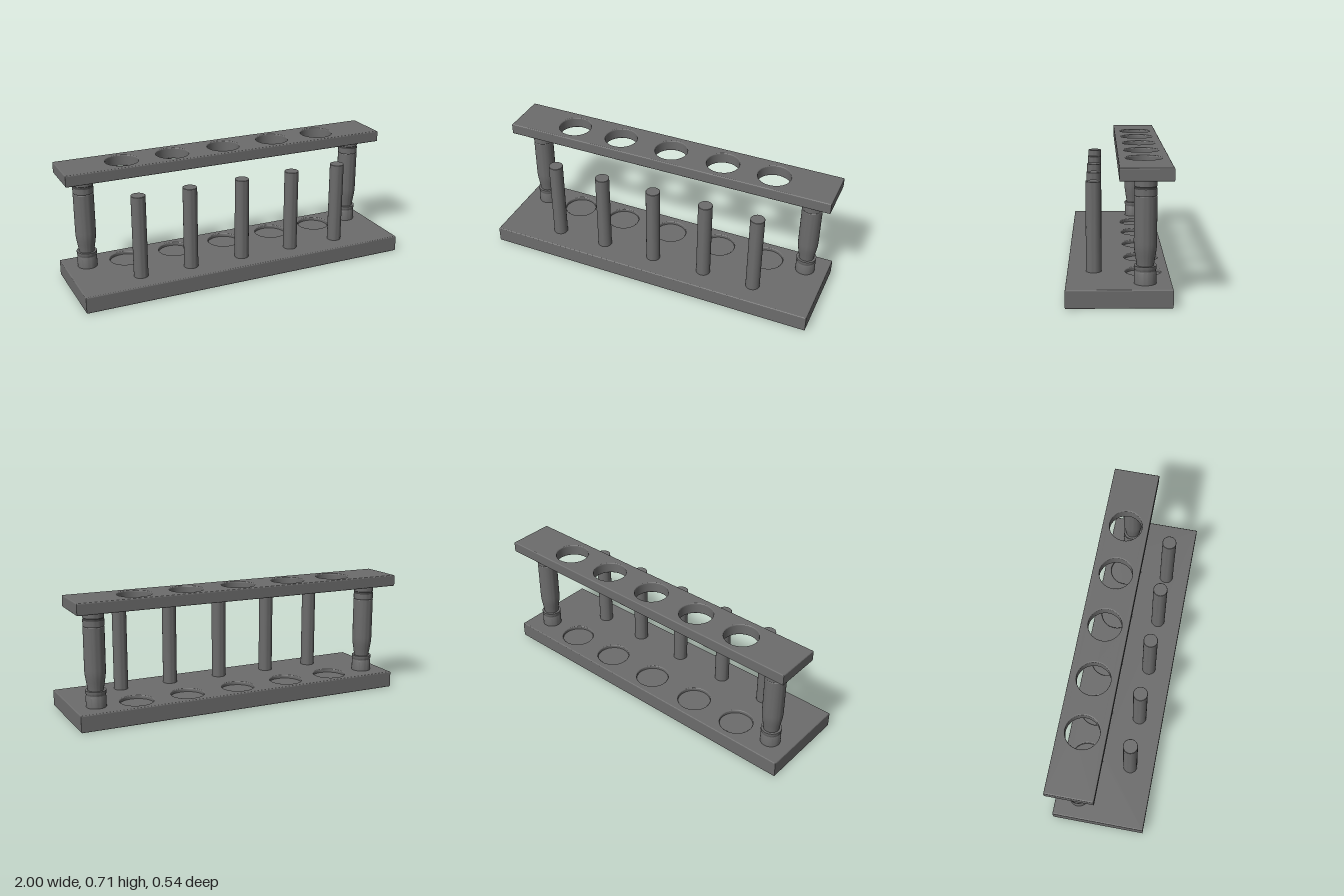
import * as THREE from 'three';
import { toCreasedNormals } from 'three/addons/utils/BufferGeometryUtils.js';

const material = new THREE.MeshStandardMaterial({ color: 0x6c6c6c });
const slotX = [-0.634, -0.326, -0.001, 0.323, 0.633];
const rowZ = -0.135;

function addMesh(parent, name, geometry, x = 0, y = 0, z = 0) {
  const mesh = new THREE.Mesh(geometry, material);
  mesh.name = name;
  mesh.position.set(x, y, z);
  parent.add(mesh);
}

// Horizontal board with softened edges, from y0 to y1 and z0 to z1, optionally drilled
function board(y0, y1, z0, z1, drilled) {
  const bevel = 0.006;
  const shape = new THREE.Shape([
    new THREE.Vector2(-1, -z1), new THREE.Vector2(1, -z1),
    new THREE.Vector2(1, -z0), new THREE.Vector2(-1, -z0),
  ]);
  if (drilled) {
    for (const x of slotX) {
      shape.holes.push(new THREE.Path().absarc(x, -rowZ, 0.096, 0, Math.PI * 2, true));
    }
  }
  const geometry = new THREE.ExtrudeGeometry(shape, {
    depth: y1 - y0 - 2 * bevel,
    curveSegments: 24,
    bevelThickness: bevel,
    bevelSize: bevel,
    bevelOffset: -bevel,
    bevelSegments: 3,
  });
  geometry.rotateX(-Math.PI / 2).translate(0, y0 + bevel, 0);
  return toCreasedNormals(geometry, 0.25);
}

function turned(profile, segments) {
  const points = profile.map(([r, y]) => new THREE.Vector2(r, y));
  return toCreasedNormals(new THREE.LatheGeometry(points, segments), 0.5);
}

export function createModel() {
  const model = new THREE.Group();
  model.name = 'tubeRack';

  // Base: solid lower layer overlapping a drilled upper layer, leaving shallow recesses
  const base = new THREE.Group();
  base.name = 'base';
  model.add(base);
  addMesh(base, 'baseFloor', board(0, 0.077, -0.271, 0.271, false));
  addMesh(base, 'baseRecesses', board(0.055, 0.097, -0.271, 0.271, true));

  // Drilled top rail
  addMesh(model, 'topRail', board(0.641, 0.708, -0.271, 0, true));

  // Turned end posts
  const post = turned([
    [0.057, 0.09], [0.057, 0.153], [0.0562, 0.157], [0.054, 0.162],
    [0.0533, 0.165], [0.054, 0.168], [0.0565, 0.172], [0.058, 0.177],
    [0.058, 0.192], [0.0445, 0.192], [0.0465, 0.21], [0.0515, 0.24],
    [0.056, 0.268], [0.0583, 0.29], [0.059, 0.31], [0.059, 0.547],
    [0.0565, 0.551], [0.059, 0.555], [0.059, 0.589], [0.0565, 0.592],
    [0.0565, 0.597], [0.059, 0.6], [0.059, 0.65],
  ], 48);
  for (const side of [-1, 1]) {
    addMesh(model, side > 0 ? 'leftPost' : 'rightPost', post, side * 0.87, 0, -0.1345);
  }

  // Drying pegs
  const peg = turned([[0.0415, 0.09], [0.0415, 0.5835], [0.04, 0.585], [0, 0.585]], 32);
  slotX.forEach((x, i) => addMesh(model, `peg${i + 1}`, peg, x, 0, 0.129));

  return model;
}
